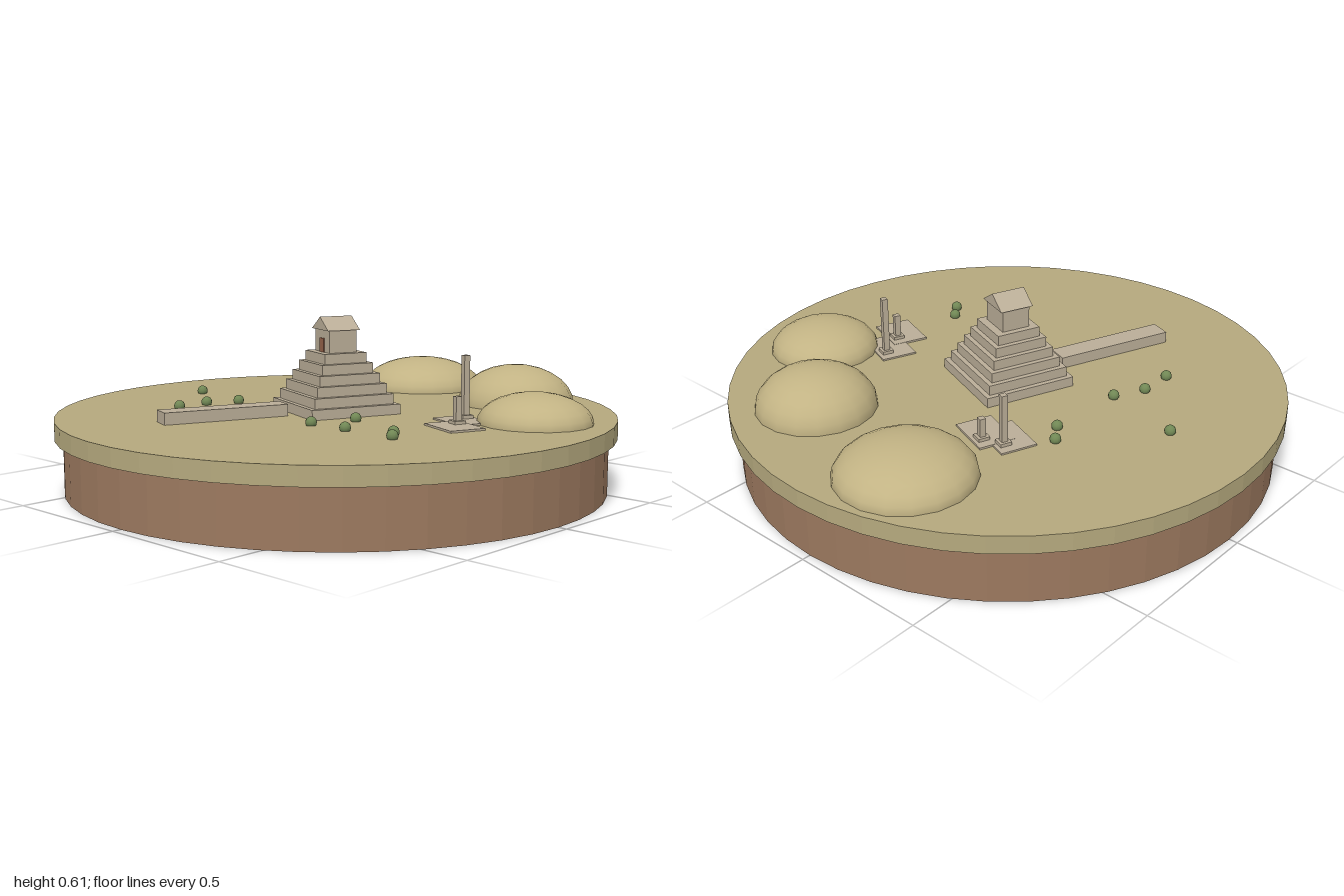
import * as THREE from 'three';

const mat = (name, color, flatShading = false) => {
  const m = new THREE.MeshStandardMaterial({ color, flatShading });
  m.name = name;
  return m;
};

export function createModel() {
  const root = new THREE.Group();
  root.name = 'templeIsland';
  const sand = mat('sand', 0xb5a97e, true);
  const earth = mat('earth', 0x9c795f, true);
  const dune = mat('dune', 0xc2b384);
  const stone = mat('stone', 0xbbae98, true);
  const leaf = mat('leaf', 0x718855);
  const doorRed = mat('doorRed', 0x95624a, true);

  const GROUND = 0.265;
  const TURN = -0.36;

  const add = (parent, name, geometry, material, x, y, z) => {
    const mesh = new THREE.Mesh(geometry, material);
    mesh.name = name;
    mesh.position.set(x, y, z);
    parent.add(mesh);
    return mesh;
  };
  // Box whose y is its underside
  const box = (parent, name, material, w, h, d, x, y, z) =>
    add(parent, name, new THREE.BoxGeometry(w, h, d), material, x, y + h / 2, z);

  // Round plinth with an overhanging ground disc
  add(root, 'earthBase', new THREE.CylinderGeometry(0.97, 0.97, 0.2, 48), earth, 0, 0.1, 0);
  add(root, 'groundDisc', new THREE.CylinderGeometry(1, 1, GROUND - 0.2, 48), sand, 0, (GROUND + 0.2) / 2, 0);

  // Stepped pyramid, turned on the plinth
  const temple = new THREE.Group();
  temple.name = 'temple';
  temple.position.y = GROUND;
  temple.rotation.y = TURN;
  root.add(temple);
  const TIERS = 6, STEP = 0.036;
  for (let i = 0; i < TIERS; i++) {
    const s = 0.344 - i * 0.036;
    box(temple, 'tier' + (i + 1), stone, s, STEP, s, 0, i * STEP, 0);
  }

  // Shrine with doorway and gable roof
  const top = TIERS * STEP;
  box(temple, 'shrine', stone, 0.12, 0.08, 0.105, 0, top, 0);
  box(temple, 'door', doorRed, 0.034, 0.05, 0.006, 0, top, 0.0535);
  const gable = new THREE.Shape([
    new THREE.Vector2(-0.0685, 0),
    new THREE.Vector2(0.0685, 0),
    new THREE.Vector2(0, 0.046),
  ]);
  const roof = new THREE.ExtrudeGeometry(gable, { depth: 0.125, bevelEnabled: false });
  add(temple, 'roof', roof, stone, 0, top + 0.08, -0.0625);

  // Causeway in front
  box(temple, 'causeway', stone, 0.08, 0.042, 0.455, 0, 0, 0.4325);

  // Pillars on thin paving slabs: x, z, height above ground
  const pillars = [
    [-0.285, -0.33, 0.19], [-0.209, -0.353, 0.085],
    [0.484, -0.123, 0.225], [0.54, -0.01, 0.1],
  ];
  pillars.forEach(([x, z, h], i) => {
    const g = new THREE.Group();
    g.name = 'pillar' + (i + 1);
    g.position.set(x, GROUND, z);
    g.rotation.y = TURN;
    root.add(g);
    box(g, 'paving', stone, 0.176, 0.006 + (i % 2) * 0.001, 0.132, 0, 0, 0);
    box(g, 'pillarFoot', stone, 0.042, 0.018, 0.042, -0.034, 0, -0.031);
    box(g, 'pillarShaft', stone, 0.022, h, 0.022, -0.034, 0, -0.031);
  });

  // Dunes: x, z, radius, height
  const domeGeo = new THREE.SphereGeometry(1, 18, 7, 0, Math.PI * 2, 0, Math.PI / 2);
  [
    [-0.19, -0.71, 0.24, 0.12],
    [0.36, -0.6, 0.215, 0.145],
    [0.675, -0.28, 0.2, 0.105],
  ].forEach(([x, z, r, h], i) => {
    add(root, 'dune' + (i + 1), domeGeo, dune, x, GROUND, z).scale.set(r, h, r);
  });

  // Shrubs
  const shrubGeo = new THREE.SphereGeometry(0.02, 12, 8);
  [
    [-0.42, -0.24], [-0.37, -0.17], [-0.675, 0.055], [-0.385, 0.125],
    [-0.44, 0.235], [-0.44, 0.365], [0.215, 0.125], [0.163, 0.29],
    [0.318, 0.287], [0.485, 0.235], [0.53, 0.292],
  ].forEach(([x, z], i) => add(root, 'shrub' + (i + 1), shrubGeo, leaf, x, GROUND + 0.011, z));

  return root;
}
